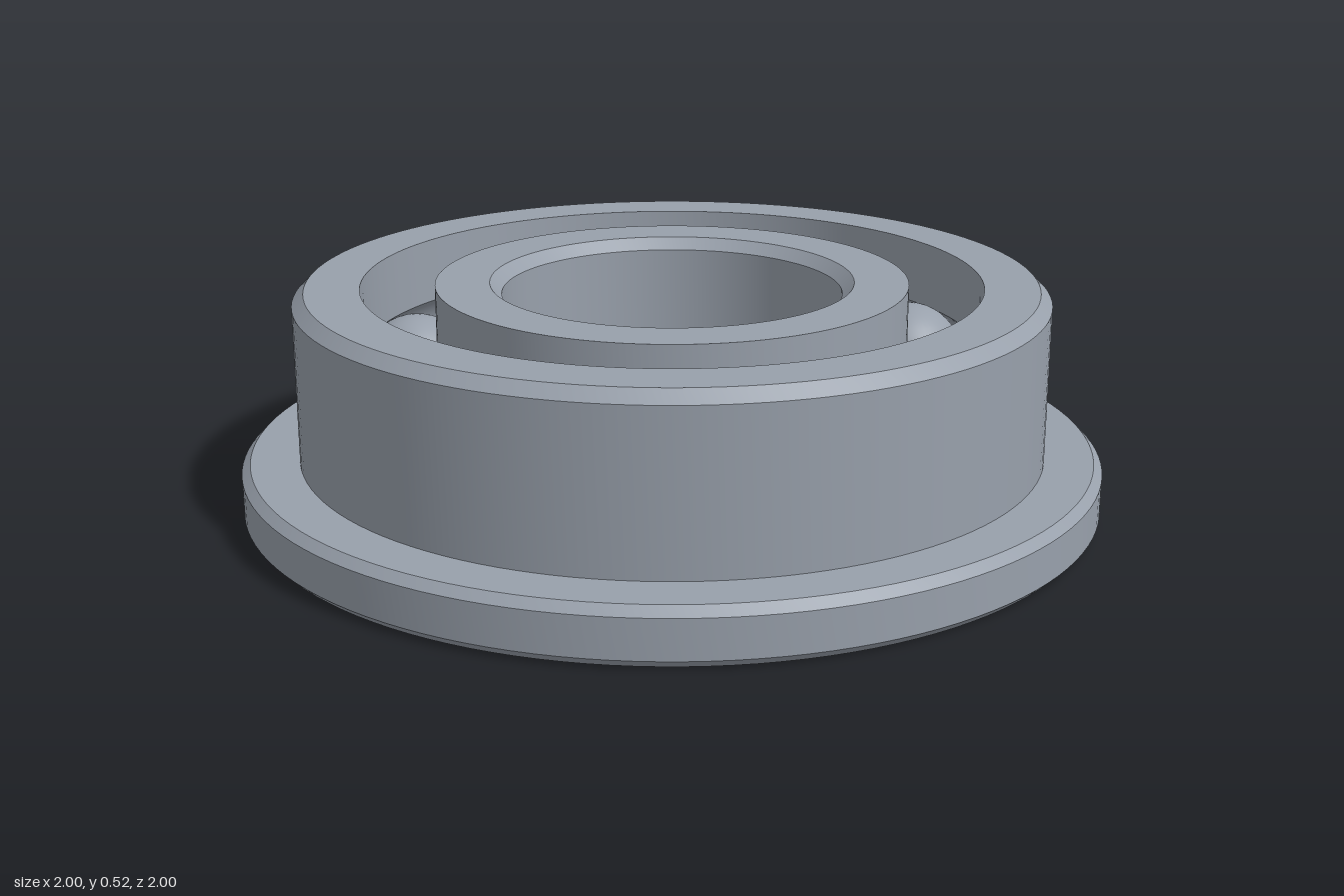
import * as THREE from 'three';
import { toCreasedNormals } from 'three/addons/utils/BufferGeometryUtils.js';

const HEIGHT = 0.52, MID = HEIGHT / 2;
const PITCH = 0.63, BALL_R = 0.133, BALLS = 10;
const INNER_RACE = 0.545, OUTER_RACE = 0.715;

// Groove arc that hugs the balls; side = 1 for the outer race, -1 for the inner
function groove(raceRadius, side) {
  const r = BALL_R + 0.001, steps = 12;
  const half = Math.acos(Math.abs(raceRadius - PITCH) / r);
  const points = [];
  for (let i = 0; i <= steps; i++) {
    const a = side * half * (1 - (2 * i) / steps);
    points.push([PITCH + side * r * Math.cos(a), MID + r * Math.sin(a)]);
  }
  return points;
}

// Closed profile turned about y, with sharp chamfer edges
function ring(name, profile, material) {
  const points = [...profile, profile[0]].map(([x, y]) => new THREE.Vector2(x, y));
  const mesh = new THREE.Mesh(toCreasedNormals(new THREE.LatheGeometry(points, 128), 0.4), material);
  mesh.name = name;
  return mesh;
}

export function createModel() {
  const steel = new THREE.MeshStandardMaterial({ color: 0x98a0ab });
  steel.name = 'steel';
  const model = new THREE.Group();
  model.name = 'flangedBallBearing';

  // Outer ring with chamfered flange at the base
  model.add(ring('outerRing', [
    [OUTER_RACE, 0], [0.98, 0], [1, 0.02], [1, 0.11], [0.98, 0.13], [0.868, 0.13],
    [0.868, HEIGHT - 0.027], [0.841, HEIGHT], [OUTER_RACE, HEIGHT],
    ...groove(OUTER_RACE, 1),
  ], steel));

  // Inner ring with chamfered bore
  model.add(ring('innerRing', [
    [0.42, 0], [INNER_RACE, 0], ...groove(INNER_RACE, -1), [INNER_RACE, HEIGHT],
    [0.42, HEIGHT], [0.393, HEIGHT - 0.027], [0.393, 0.027],
  ], steel));

  // Balls, evenly spaced around the races
  const balls = new THREE.Group();
  balls.name = 'balls';
  const sphere = new THREE.SphereGeometry(BALL_R, 40, 24);
  for (let i = 0; i < BALLS; i++) {
    const a = THREE.MathUtils.degToRad(6 + (i * 360) / BALLS);
    const ball = new THREE.Mesh(sphere, steel);
    ball.name = 'ball' + (i + 1);
    ball.position.set(PITCH * Math.sin(a), MID, PITCH * Math.cos(a));
    balls.add(ball);
  }
  model.add(balls);
  return model;
}
